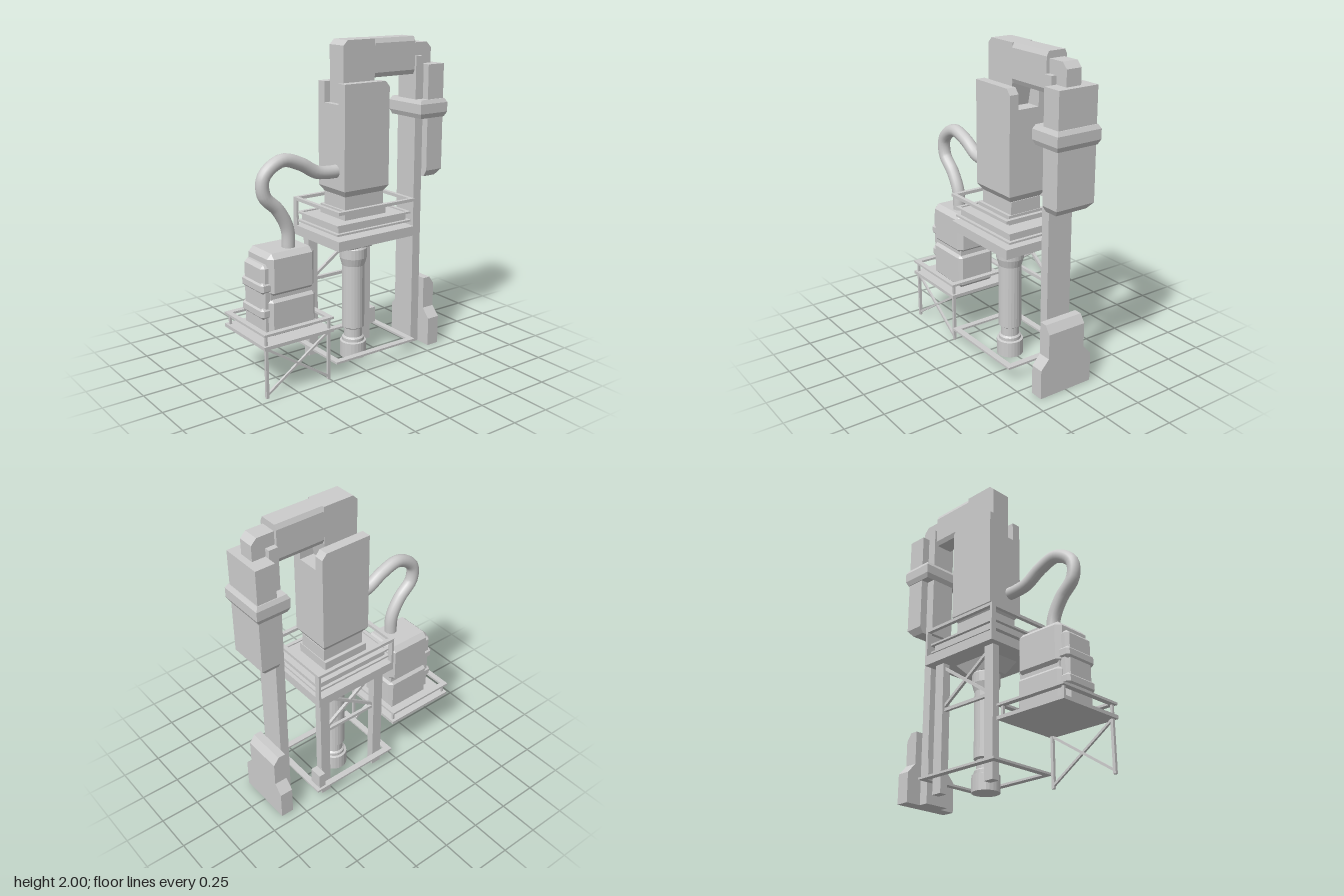
import * as THREE from 'three';
import { ConvexGeometry } from 'three/addons/geometries/ConvexGeometry.js';

export function createModel() {
  const model = new THREE.Group();
  const mat = new THREE.MeshStandardMaterial({ color: 0xcccccc });
  const flat = new THREE.MeshStandardMaterial({ color: 0xcccccc, flatShading: true });

  const add = (name, geo, m = flat) => {
    const mesh = new THREE.Mesh(geo, m);
    mesh.name = name;
    model.add(mesh);
    return mesh;
  };
  // Box given by its limits on each axis
  const box = (name, x0, x1, y0, y1, z0, z1) => add(name,
    new THREE.BoxGeometry(x1 - x0, y1 - y0, z1 - z0)
      .translate((x0 + x1) / 2, (y0 + y1) / 2, (z0 + z1) / 2));
  // Box with every edge cut by c
  const bevelBox = (name, x0, x1, y0, y1, z0, z1, c) => {
    const pts = [];
    for (const sx of [0, 1]) for (const sy of [0, 1]) for (const sz of [0, 1])
      for (const keep of [0, 1, 2]) {
        const k = [c, c, c];
        k[keep] = 0;
        pts.push(new THREE.Vector3(
          sx ? x1 - k[0] : x0 + k[0], sy ? y1 - k[1] : y0 + k[1], sz ? z1 - k[2] : z0 + k[2]));
      }
    return add(name, new ConvexGeometry(pts));
  };
  // Rectangular frustum between two rectangles [x0, x1, z0, z1]
  const frustum = (name, y0, low, y1, high) => {
    const pts = [];
    for (const [y, r] of [[y0, low], [y1, high]])
      for (const i of [0, 1]) for (const j of [2, 3]) pts.push(new THREE.Vector3(r[i], y, r[j]));
    return add(name, new ConvexGeometry(pts));
  };
  // Side profile of [z, y] points, extruded across x
  const prism = (name, pts, x0, x1) => add(name, new THREE.ExtrudeGeometry(
    new THREE.Shape(pts.map(p => new THREE.Vector2(...p))),
    { depth: x1 - x0, bevelEnabled: false }).rotateY(-Math.PI / 2).translate(x1, 0, 0));
  // Horizontal rectangular frame of bars with width w
  const frame = (name, x0, x1, y0, y1, z0, z1, w) => {
    box(name, x0, x1, y0, y1, z0, z0 + w);
    box(name, x0, x1, y0, y1, z1 - w, z1);
    box(name, x0, x0 + w, y0, y1, z0 + w, z1 - w);
    box(name, x1 - w, x1, y0, y1, z0 + w, z1 - w);
  };
  // Straight brace in a plane of constant x
  const brace = (name, x, z0, y0, z1, y1, t) => {
    const m = add(name, new THREE.BoxGeometry(t, t, Math.hypot(z1 - z0, y1 - y0)));
    m.position.set(x, (y0 + y1) / 2, (z0 + z1) / 2);
    m.rotation.x = -Math.atan2(y1 - y0, z1 - z0);
  };

  // Main body with a slot for the arm between two cheeks
  const R = [-0.135, 0.13, -0.255, 0.078];
  frustum('bodyLowerBevel', 1.08, [-0.108, 0.103, -0.23, 0.053], 1.12, R);
  box('body', R[0], R[1], 1.12, 1.63, R[2], R[3]);
  const cheek = [[R[3], 1.63], [R[3], 1.755], [-0.225, 1.755], [R[2], 1.72], [R[2], 1.63]];
  prism('bodyCheek', cheek, R[0], -0.073);
  prism('bodyCheek', cheek, 0.07, R[1]);
  box('bodyNeck', -0.108, 0.103, 0.99, 1.08, -0.235, 0.055);
  box('bodyPlinth', -0.13, 0.122, 0.94, 1.0, -0.24, 0.07);

  // Arm reaching back to the column
  prism('armHead', [[0.04, 1.63], [0.04, 1.97], [0.01, 2], [-0.19, 2], [-0.19, 1.77], [-0.16, 1.63]], -0.07, 0.067);
  const c = 0.028, ax = 0.069;
  const armPts = [];
  for (const z of [-0.5, -0.19])
    for (const s of [-1, 1])
      for (const [x, y] of [[ax, 1.77 + c], [ax - c / 2, 1.77], [ax, 2 - c], [ax - c / 2, 2]])
        armPts.push(new THREE.Vector3(s * x, y, z));
  add('armBeam', new ConvexGeometry(armPts));
  prism('armEnd', [[-0.5, 1.8], [-0.5, 1.96], [-0.61, 1.96], [-0.645, 1.925], [-0.645, 1.8]], -0.05, 0.05);

  // Rear column with foot, counterweight and collar
  box('column', -0.083, 0.083, 0, 1.88, -0.56, -0.5);
  const foot = new THREE.Shape([[-0.185, 0], [0.185, 0], [0.185, 0.185], [0.13, 0.245],
    [0.13, 0.4], [-0.13, 0.4], [-0.13, 0.245], [-0.185, 0.185]].map(p => new THREE.Vector2(...p)));
  add('columnFoot', new THREE.ExtrudeGeometry(foot, { depth: 0.085, bevelEnabled: false }).translate(0, 0, -0.645));
  prism('columnFootTop', [[-0.56, 0.4], [-0.56, 0.45], [-0.61, 0.45], [-0.645, 0.4]], -0.13, 0.13);
  box('counterweight', -0.135, 0.13, 1.165, 1.83, -0.685, -0.56);
  frustum('counterweightBevel', 1.125, [-0.11, 0.105, -0.65, -0.56], 1.165, [-0.135, 0.13, -0.685, -0.56]);
  const o = [-0.153, 0.15, -0.705, -0.487], i = [-0.14, 0.137, -0.69, -0.5];
  frustum('collarLower', 1.5, i, 1.53, o);
  box('collar', o[0], o[1], 1.53, 1.59, o[2], o[3]);
  frustum('collarUpper', 1.59, o, 1.615, i);

  // Upper platform, funnel and railings
  box('deck', -0.24, 0.237, 0.8, 0.86, -0.375, 0.198);
  frustum('funnel', 0.73, [-0.075, 0.075, -0.17, 0], 0.89, [-0.15, 0.15, -0.325, 0.153]);
  box('deckSlab', -0.19, 0.19, 0.89, 0.942, -0.345, 0.168);
  for (const y of [0.885, 0.938]) frame('middleRail', -0.21, 0.212, y, y + 0.012, -0.368, 0.19, 0.022);
  frame('topRail', -0.24, 0.237, 1.018, 1.037, -0.375, 0.198, 0.025);
  for (const z of [-0.375, 0.183]) box('railPost', -0.24, -0.205, 0.86, 1.018, z, z + 0.015);

  // Platform legs and cross bracing on one side
  for (const z of [-0.33, 0.09]) box('deckLeg', -0.19, -0.14, 0, 0.8, z, z + 0.068);
  box('legTie', -0.175, -0.155, 0.495, 0.515, -0.31, 0.13);
  brace('legBrace', -0.165, 0.13, 0.5, -0.31, 0.8, 0.018);
  brace('legBrace', -0.165, -0.31, 0.5, 0.13, 0.8, 0.018);
  box('legBox', -0.225, -0.14, 0.1, 0.21, -0.375, -0.33);
  frame('groundFrame', -0.24, 0.237, 0.093, 0.106, -0.4, 0.215, 0.04);

  // Round support post
  const profile = [[0, 0], [0.084, 0], [0.084, 0.1], [0.07, 0.105], [0.07, 0.125], [0.058, 0.135],
    [0.058, 0.19], [0.072, 0.2], [0.072, 0.61], [0.086, 0.66], [0.086, 0.72], [0.075, 0.735], [0, 0.735]];
  add('supportPost', new THREE.LatheGeometry(profile.map(p => new THREE.Vector2(...p)), 24)
    .toNonIndexed().translate(0, 0, -0.085), mat).geometry.computeVertexNormals();

  // Front stand with railing, legs and braces
  box('standDeck', -0.23, 0.225, 0.307, 0.328, 0.228, 0.71);
  frame('standRail', -0.23, 0.225, 0.388, 0.402, 0.228, 0.71, 0.035);
  for (const x of [-0.21, 0.195]) for (const z of [0.243, 0.68])
    box('standRailPost', x, x + 0.015, 0.328, 0.388, z, z + 0.015);
  for (const z of [0.243, 0.677]) box('standLeg', 0.193, 0.211, 0, 0.307, z, z + 0.018);
  brace('standBrace', 0.202, 0.255, 0.02, 0.685, 0.305, 0.014);
  brace('standBrace', 0.202, 0.685, 0.02, 0.255, 0.305, 0.014);

  // Pump unit in two halves with a banded front module
  bevelBox('pumpLower', -0.133, 0.13, 0.328, 0.558, 0.285, 0.607, 0.022);
  bevelBox('pumpUpper', -0.133, 0.13, 0.565, 0.828, 0.285, 0.607, 0.03);
  box('pumpCore', -0.115, 0.112, 0.5, 0.62, 0.3, 0.592);
  bevelBox('pumpModule', -0.108, 0.106, 0.34, 0.765, 0.57, 0.645, 0.02);
  for (const y of [0.44, 0.595]) bevelBox('pumpBand', -0.117, 0.114, y, y + 0.067, 0.57, 0.655, 0.015);

  // Hose from pump to body
  const path = [[0.42, 0.8], [0.427, 0.94], [0.49, 1.06], [0.58, 1.155], [0.58, 1.265], [0.46, 1.345],
    [0.33, 1.31], [0.22, 1.247], [0.13, 1.233], [0.05, 1.233]];
  const curve = new THREE.CatmullRomCurve3(path.map(([z, y]) => new THREE.Vector3(0.04, y, z)));
  add('hose', new THREE.TubeGeometry(curve, 40, 0.04, 16), mat);

  return model;
}
